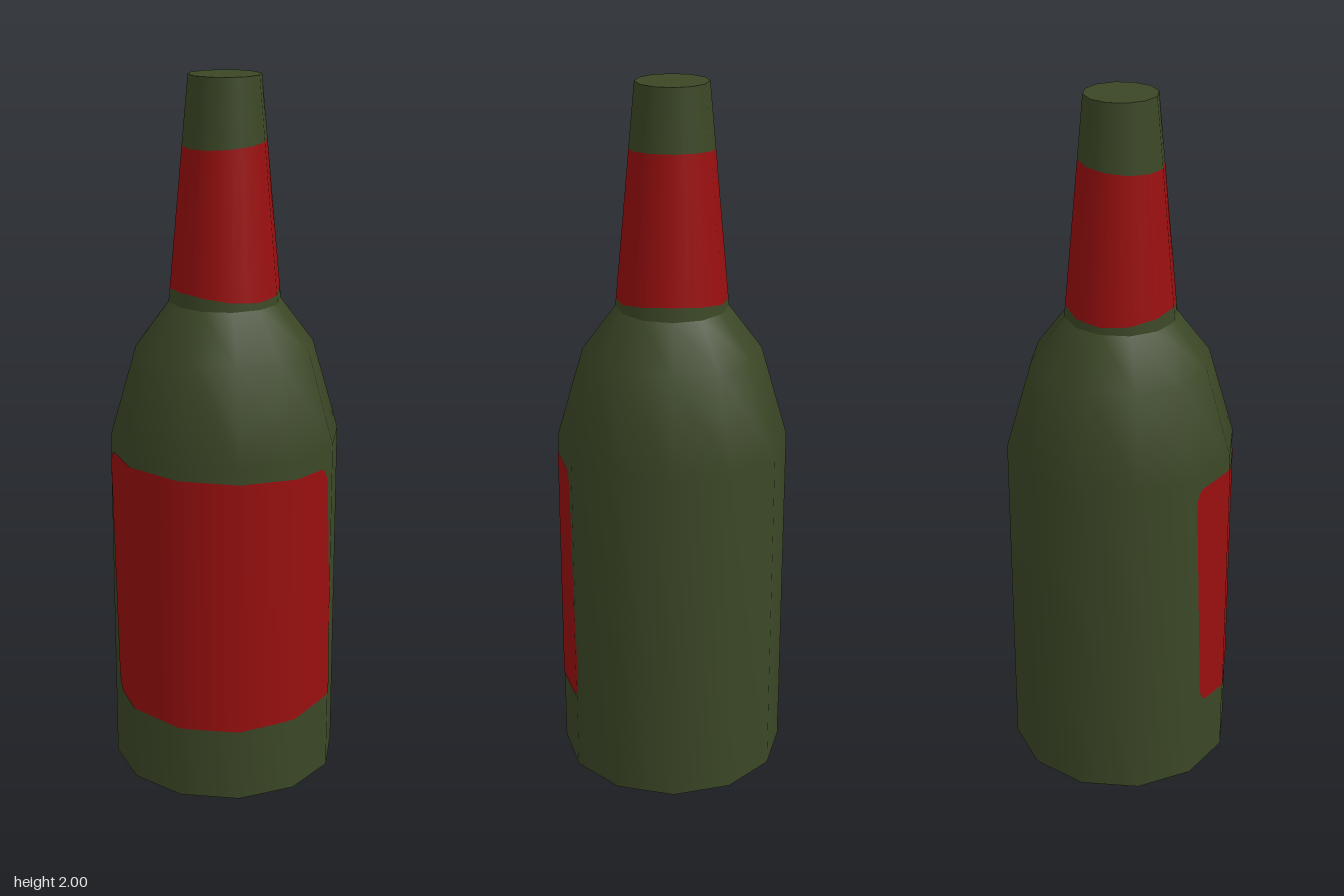
import * as THREE from 'three';

const SIDES = 12;
const RAD = Math.PI / 180;

const green = new THREE.MeshStandardMaterial({ color: 0x3b4726 });
green.name = 'green glass';
const red = new THREE.MeshStandardMaterial({ color: 0x990f0f });
red.name = 'red paper';

// Radius factor that keeps a point on the flat sides of the 12-sided bottle
function facet(deg) {
  const step = 360 / SIDES;
  const off = (((deg % step) + step) % step) - step / 2;
  return Math.cos((step / 2) * RAD) / Math.cos(off * RAD);
}

// Curved sheet: columns give an angle for each v, rows run from bottom to top
function sheet(columns, rows, bottom, top, radius, slope) {
  const pos = [], nor = [], idx = [];
  const n = columns.length;
  for (const v of rows) {
    for (const column of columns) {
      const deg = column(v);
      const y = THREE.MathUtils.lerp(bottom(deg), top(deg), v);
      const s = Math.sin(deg * RAD), c = Math.cos(deg * RAD);
      const r = radius(y) * facet(deg);
      pos.push(r * s, y, r * c);
      const normal = new THREE.Vector3(s, slope, c).normalize();
      nor.push(normal.x, normal.y, normal.z);
    }
  }
  for (let j = 0; j < rows.length - 1; j++) {
    for (let i = 0; i < n - 1; i++) {
      const a = j * n + i, b = a + 1, d = a + n, e = d + 1;
      idx.push(a, b, e, a, e, d);
    }
  }
  const g = new THREE.BufferGeometry();
  g.setAttribute('position', new THREE.Float32BufferAttribute(pos, 3));
  g.setAttribute('normal', new THREE.Float32BufferAttribute(nor, 3));
  g.setIndex(idx);
  return g;
}

export function createModel() {
  const bottle = new THREE.Group();
  bottle.name = 'bottle';
  const add = (name, geometry, material) => {
    const mesh = new THREE.Mesh(geometry, material);
    mesh.name = name;
    bottle.add(mesh);
    return mesh;
  };

  // Body and shoulders
  const profile = [[0.325, 0], [0.325, 1], [0.25, 1.26], [0.157, 1.385]];
  add('body', new THREE.LatheGeometry(profile.map(([r, y]) => new THREE.Vector2(r, y)), SIDES), green);

  // Flat ends
  const base = add('base', new THREE.CircleGeometry(0.325, SIDES), green);
  base.rotation.x = Math.PI / 2;
  const cap = add('mouth', new THREE.CircleGeometry(0.1, SIDES), green);
  cap.rotation.x = -Math.PI / 2;
  cap.position.y = 2;

  // Neck in three bands with slightly uneven foil edges
  const neckRadius = (y) => THREE.MathUtils.mapLinear(y, 1.385, 2, 0.157, 0.1);
  const ring = Array.from({ length: SIDES * 2 + 1 }, (_, i) => () => (i * 180) / SIDES);
  const foilBottom = (deg) => 1.415 + 0.01 * Math.cos(2 * deg * RAD);
  const foilTop = (deg) => 1.82 - 0.01 * Math.cos(deg * RAD);
  const band = (name, from, to, material) =>
    add(name, sheet(ring, [0, 1], from, to, neckRadius, 0.093), material);
  band('neckBase', () => 1.385, foilBottom, green);
  band('neckFoil', foilBottom, foilTop, red);
  band('neckTop', foilTop, () => 2, green);

  // Label: slanted ends with rounded corners, wrapped round the front and one side
  const rows = [0, 0.012, 0.035, 0.07, 0.5, 0.93, 0.965, 0.988, 1];
  const inset = (v) => 4 * Math.pow(Math.max(0, 1 - Math.min(v, 1 - v) / 0.06), 2);
  const left = (v) => THREE.MathUtils.lerp(-22, -29.5, v) + inset(v);
  const right = (v) => THREE.MathUtils.lerp(122, 115.5, v) - inset(v);
  const columns = [left];
  for (let deg = -15; deg <= 105; deg += 7.5) columns.push(() => deg);
  columns.push((v) => Math.min(right(v), 120), right);
  const along = (deg) => THREE.MathUtils.clamp((deg + 25) / 145, 0, 1);
  const labelBottom = (deg) => 0.232 - 0.02 * Math.sin(Math.PI * along(deg));
  const labelTop = (deg) => 0.96 - 0.02 * along(deg) ** 2;
  add('label', sheet(columns, rows, labelBottom, labelTop, () => 0.327, 0), red);

  return bottle;
}
